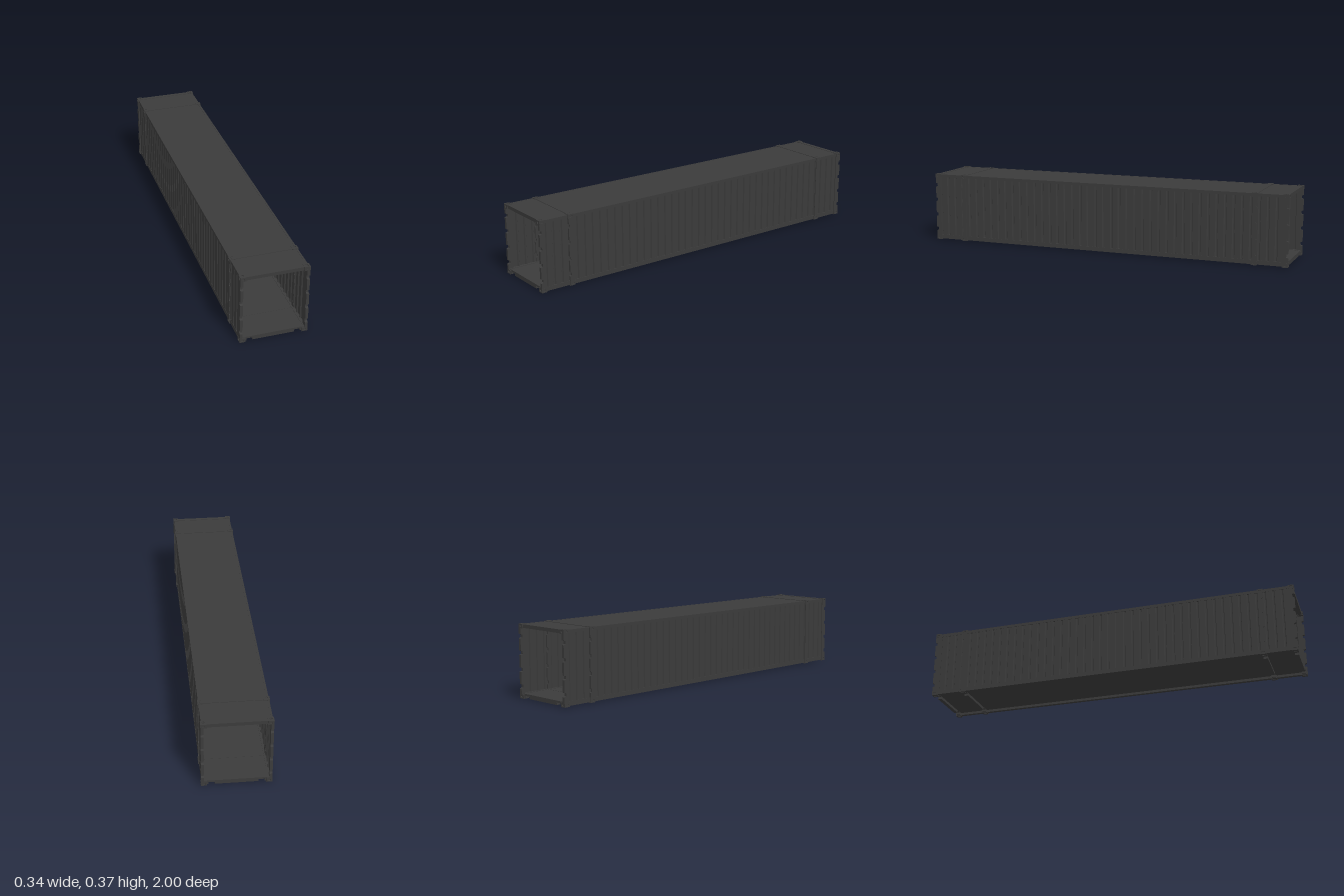
import * as THREE from 'three';

const HX = 0.172, H = 0.37, MID = 0.825;

export function createModel() {
  const root = new THREE.Group();
  root.name = 'freightContainer';
  const mat = new THREE.MeshStandardMaterial({ color: 0x3b3b3b, flatShading: true });

  function add(geo, name, parent = root) {
    const m = new THREE.Mesh(geo, mat);
    m.name = name;
    parent.add(m);
    return m;
  }
  // Box given by its lower and upper limits on each axis
  function box(name, x0, x1, y0, y1, z0, z1, parent) {
    const g = new THREE.BoxGeometry(x1 - x0, y1 - y0, z1 - z0);
    g.translate((x0 + x1) / 2, (y0 + y1) / 2, (z0 + z1) / 2);
    return add(g, name, parent);
  }
  function polygon(points) {
    return new THREE.Shape(points.map(p => new THREE.Vector2(p[0], p[1])));
  }
  // Centred plate with an oval hole, facing +z
  function holedPlate(w, h, t, rx, ry) {
    const s = polygon([[-w / 2, -h / 2], [w / 2, -h / 2], [w / 2, h / 2], [-w / 2, h / 2]]);
    const hole = new THREE.Path();
    hole.absellipse(0, 0, rx, ry, 0, Math.PI * 2, true);
    s.holes.push(hole);
    return new THREE.ExtrudeGeometry(s, { depth: t, bevelEnabled: false, curveSegments: 6 })
      .translate(0, 0, -t);
  }

  // Corner casting with lifting holes in its outer, upper or lower, and end faces
  function casting(name, sx, top, sz, z, endHole) {
    const w = 0.03, h = 0.022, d = 0.03, t = 0.005;
    const g = new THREE.Group();
    g.name = name;
    const v = top ? 1 : -1;
    const core = new THREE.BoxGeometry(w - t, h - t, d - t);
    add(core.translate(-sx * t / 2, -v * t / 2, -sz * t / 2), 'castingCore', g);
    const side = holedPlate(d, h, t, 0.009, 0.006).rotateY(sx * Math.PI / 2);
    add(side.translate(sx * w / 2, 0, 0), 'castingSide', g);
    const cap = holedPlate(w, d, t, 0.007, 0.01).rotateX(-v * Math.PI / 2);
    add(cap.translate(0, v * h / 2, 0), 'castingCap', g);
    const end = endHole ? holedPlate(w, h, t, 0.007, 0.007)
      : new THREE.BoxGeometry(w, h, t).translate(0, 0, -t / 2);
    if (sz < 0) end.rotateY(Math.PI);
    add(end.translate(0, 0, sz * d / 2), 'castingEnd', g);
    g.position.set(sx * (HX - w / 2), top ? H - h / 2 : h / 2, z);
    root.add(g);
  }

  // Corrugated side wall: wide outer panels separated by narrow grooves
  function wallGeometry() {
    const outer = 0.167, inner = 0.1605, t = 0.002, n = 44, half = 0.975;
    const pitch = 2 * half / n, line = [];
    for (let i = 0; i < n; i++) {
      const z = -half + i * pitch;
      line.push([outer, z], [outer, z + pitch * 0.68], [inner, z + pitch * 0.77], [inner, z + pitch * 0.91]);
    }
    line.push([outer, half]);
    const back = line.map(p => [p[0] - t, p[1]]).reverse();
    const g = new THREE.ExtrudeGeometry(polygon([...line, ...back]), { depth: 0.345, bevelEnabled: false });
    return g.rotateX(Math.PI / 2).translate(0, 0.362, 0);
  }
  const wall = wallGeometry();
  add(wall, 'leftWall');
  add(wall, 'rightWall').rotation.y = Math.PI;

  // Upright with a row of notches cut in its outward edge, seen from the side
  function postGeometry(d, notch) {
    const pts = [[0, 0.02], [d, 0.02]];
    for (const y of [0.06, 0.142, 0.226, 0.308]) {
      pts.push([d, y - 0.011], [d - notch, y - 0.007], [d - notch, y + 0.007], [d, y + 0.011]);
    }
    pts.push([d, 0.35], [0, 0.35]);
    const g = new THREE.ExtrudeGeometry(polygon(pts), { depth: 0.014, bevelEnabled: false });
    return g.rotateY(-Math.PI / 2).translate(0.007, 0, 0);
  }
  const endPost = postGeometry(0.03, 0.011);
  const midPost = postGeometry(0.024, 0.007);

  // Roof and floor sheets
  box('roof', -0.166, 0.166, 0.361, 0.366, -0.985, 0.985);
  box('floor', -0.162, 0.162, 0.017, 0.024, -0.985, 0.985);

  // Long rails along the upper and lower edges
  for (const s of [-1, 1]) {
    const a = s * 0.158, b = s * 0.168;
    box('topRail', Math.min(a, b), Math.max(a, b), 0.352, 0.367, -0.98, 0.98);
    const c = s * 0.15;
    box('bottomRail', Math.min(c, b), Math.max(c, b), 0.004, 0.026, -0.98, 0.98);
  }

  // Stepped sill, lowered in the middle and at the feet
  function sillGeometry(depth) {
    const right = [[0.105, 0.003], [0.105, 0.015], [0.135, 0.015], [0.135, 0.003], [0.16, 0.003], [0.16, 0.025]];
    const left = right.map(p => [-p[0], p[1]]).reverse();
    return new THREE.ExtrudeGeometry(polygon([...right, ...left]), { depth, bevelEnabled: false })
      .translate(0, 0, -depth / 2);
  }

  for (const sz of [-1, 1]) {
    // End frame
    add(sillGeometry(0.02), 'endSill').position.z = sz * 0.984;
    box('endHeader', -0.145, 0.145, 0.35, 0.368, sz * 0.984 - 0.011, sz * 0.984 + 0.011);
    // Intermediate lifting frame
    add(sillGeometry(0.022), 'middleSill').position.z = sz * MID;
    box('middleRoofBeam', -0.16, 0.16, 0.35, 0.3685, sz * MID - 0.011, sz * MID + 0.011);
    for (const sx of [-1, 1]) {
      const p = add(endPost, 'endPost');
      p.position.set(sx * 0.164, 0, sz * 0.97);
      p.rotation.y = sz > 0 ? 0 : Math.PI;
      const m = add(midPost, 'middlePost');
      m.position.set(sx * 0.1645, 0, sz * (MID - 0.012));
      m.rotation.y = sz > 0 ? 0 : Math.PI;
      for (const top of [false, true]) {
        casting('cornerCasting', sx, top, sz, sz * 0.985, true);
        casting('middleCasting', sx, top, sz, sz * MID, false);
      }
    }
  }
  return root;
}
